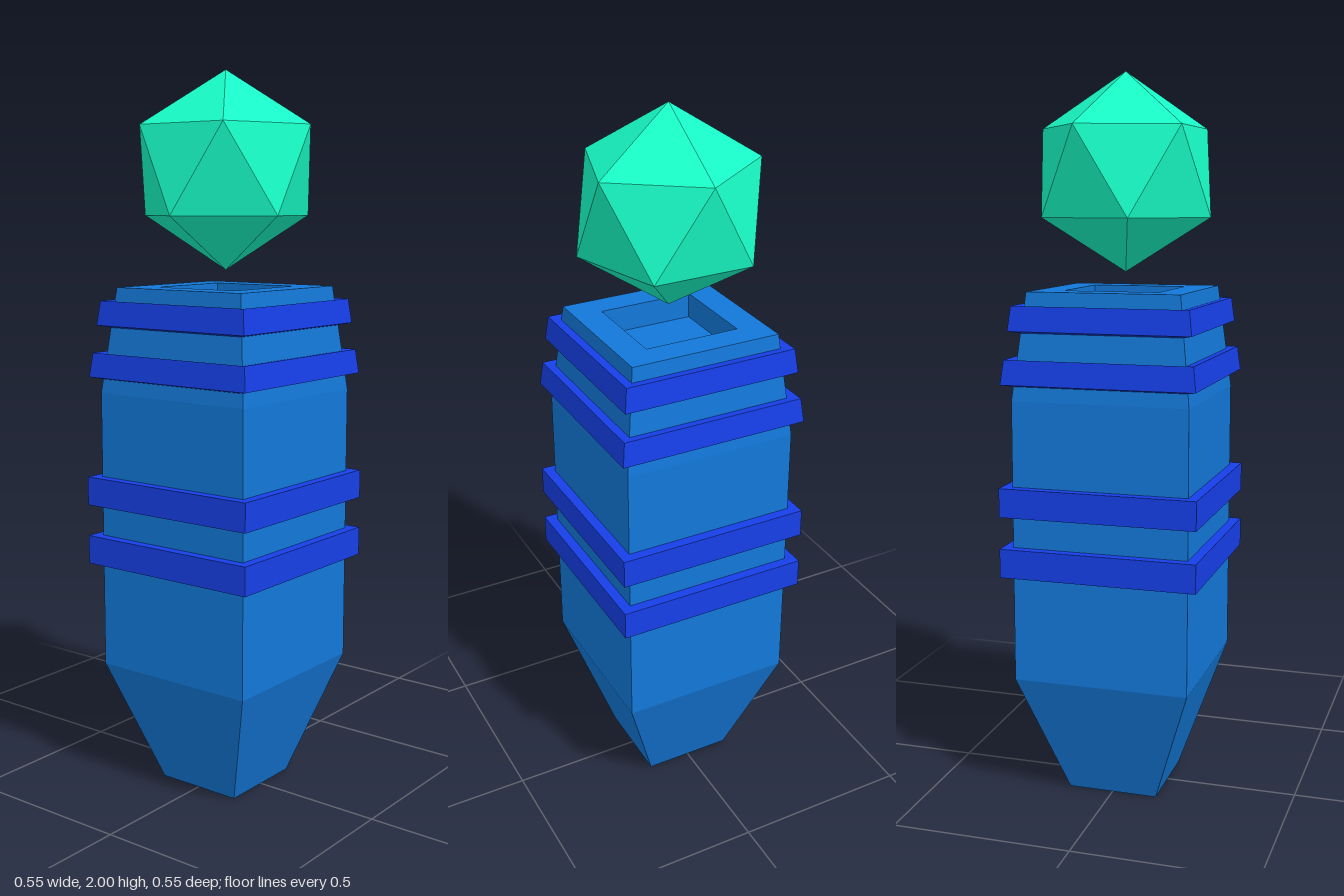
import * as THREE from 'three';

const paint = (color) => new THREE.MeshStandardMaterial({ color, flatShading: true });

// Square-section solid from a [halfWidth, y] profile
function squareLathe(name, profile, material) {
  const points = profile.map(([w, y]) => new THREE.Vector2(w * Math.SQRT2, y));
  const mesh = new THREE.Mesh(new THREE.LatheGeometry(points, 4, Math.PI / 4), material);
  mesh.name = name;
  return mesh;
}

export function createModel() {
  const model = new THREE.Group();
  model.name = 'gemPillar';
  const bodyBlue = paint(0x1378d8);
  const bandBlue = paint(0x163fe8);

  // Pillar: tapered foot, straight shaft, narrowing neck and sunken top
  model.add(squareLathe('pillar', [
    [0, 0], [0.127, 0], [0.245, 0.35], [0.245, 1.13], [0.212, 1.42],
    [0.133, 1.42], [0.133, 1.35], [0, 1.35],
  ], bodyBlue));

  // Straight bands around the shaft
  for (const [name, y] of [['lowerBand', 0.647], ['middleBand', 0.815]]) {
    model.add(squareLathe(name, [
      [0.24, y], [0.274, y], [0.274, y + 0.08], [0.24, y + 0.08],
    ], bandBlue));
  }

  // Leaning bands around the neck
  for (const [name, y, w] of [['neckBand', 1.175, 0.268], ['topBand', 1.317, 0.252]]) {
    model.add(squareLathe(name, [
      [w - 0.03, y - 0.007], [w, y], [w - 0.008, y + 0.067], [w - 0.04, y + 0.062],
    ], bandBlue));
  }

  // Floating gem standing on one of its corners
  const gemShape = new THREE.IcosahedronGeometry(0.267, 0);
  gemShape.rotateX(-Math.atan((1 + Math.sqrt(5)) / 2));
  gemShape.rotateY(Math.PI);
  const gem = new THREE.Mesh(gemShape, paint(0x18fcc6));
  gem.name = 'gem';
  gem.position.y = 1.733;
  model.add(gem);

  return model;
}
